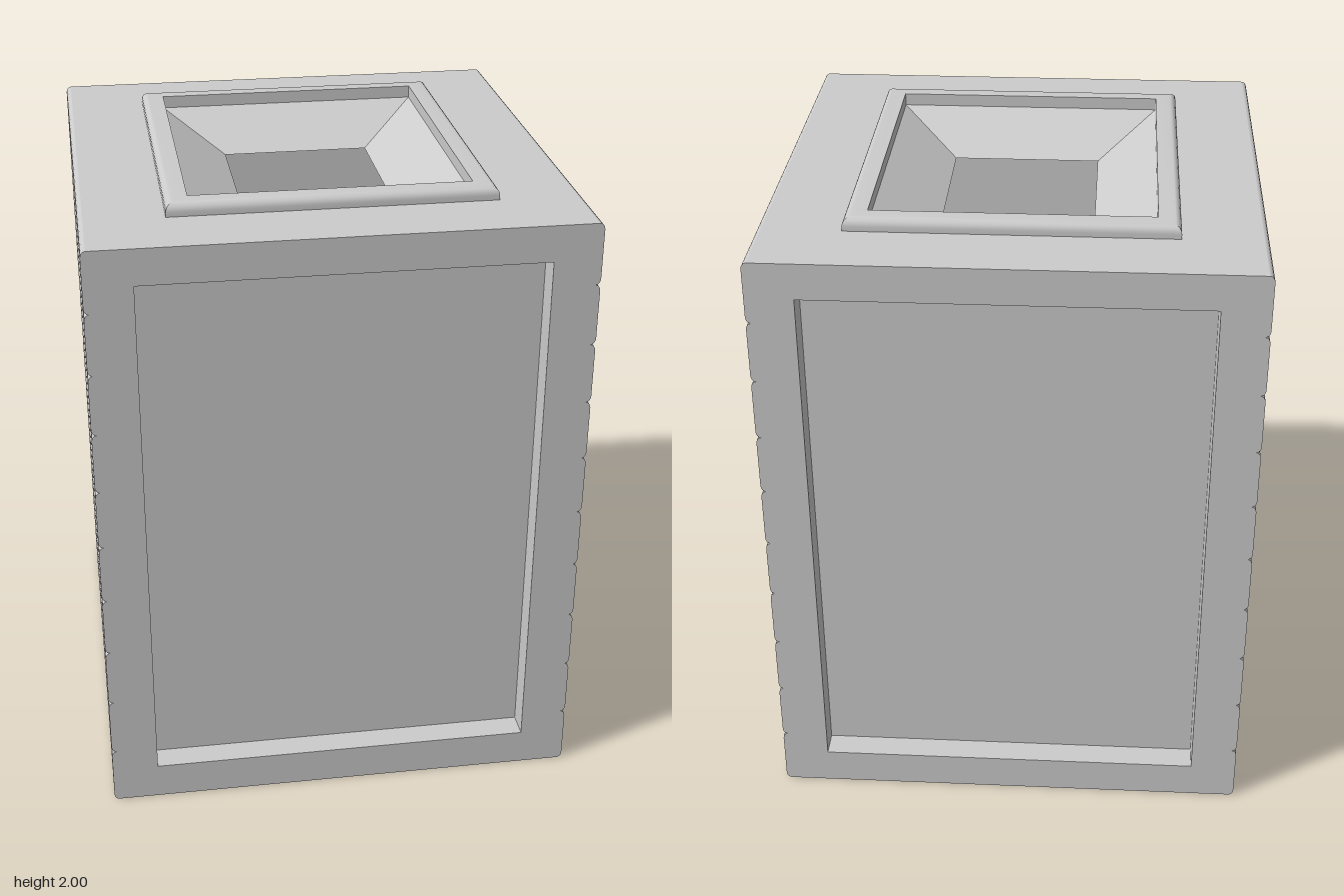
import * as THREE from 'three';
import { toCreasedNormals } from 'three/addons/utils/BufferGeometryUtils.js';

const W = 0.765, D = 0.795, H = 1.96;          // half width, half depth, body height
const PLANKS = 10, GROOVE = 0.016, ROUND = 0.02;
const PANEL = { w: 0.617, h: 0.8625, y: 0.9825, depth: 0.085 };

const material = new THREE.MeshStandardMaterial({ color: 0xcccccc, side: THREE.DoubleSide });

function part(name, geometry) {
  const mesh = new THREE.Mesh(geometry, material);
  mesh.name = name;
  return mesh;
}

// Skin between successive rows of points
function loft(rows) {
  const pos = [];
  for (let i = 0; i < rows.length - 1; i++) {
    for (let j = 0; j < rows[i].length - 1; j++) {
      const a = rows[i][j], b = rows[i][j + 1], c = rows[i + 1][j + 1], d = rows[i + 1][j];
      pos.push(...a, ...b, ...c, ...a, ...c, ...d);
    }
  }
  const geo = new THREE.BufferGeometry();
  geo.setAttribute('position', new THREE.Float32BufferAttribute(pos, 3));
  geo.computeVertexNormals();
  return toCreasedNormals(geo, 0.6);
}

// Closed rectangle at height y
const ring = (w, d, y) => [[-w, y, d], [w, y, d], [w, y, -d], [-w, y, -d], [-w, y, d]];

// Rectangular outline added to a shape or path
function rectPath(path, w, h, cy = 0) {
  path.moveTo(-w, cy - h).lineTo(w, cy - h).lineTo(w, cy + h).lineTo(-w, cy + h).closePath();
  return path;
}

// Stacked round-edged planks as an x, y profile running upwards
function sidingProfile() {
  const pts = [], step = H / PLANKS, n = 4;
  const arc = (t) => W - GROOVE + GROOVE * Math.sin(t);
  for (let k = 0; k < PLANKS; k++) {
    for (let i = 0; i <= n; i++) {
      const t = (i / n) * Math.PI / 2;
      pts.push([arc(t), k * step + ROUND * (1 - Math.cos(t))]);
    }
    for (let i = n; i >= 0; i--) {
      const t = (i / n) * Math.PI / 2;
      pts.push([arc(t), (k + 1) * step - ROUND * (1 - Math.cos(t))]);
    }
  }
  return pts;
}

// Framed face with a sunken panel, facing +z
function framedFace(name, profile) {
  const group = new THREE.Group();
  group.name = name;
  const outline = [
    ...profile.map(([x, y]) => new THREE.Vector2(x, y)),
    ...profile.map(([x, y]) => new THREE.Vector2(-x, y)).reverse(),
  ];
  const shape = new THREE.Shape(outline);
  shape.holes.push(rectPath(new THREE.Path(), PANEL.w, PANEL.h, PANEL.y));
  const frame = part('frame', new THREE.ShapeGeometry(shape));
  frame.position.z = D;

  const reveal = part('panelReveal', loft([
    ring(PANEL.w, PANEL.h, D), ring(PANEL.w, PANEL.h, D - PANEL.depth),
  ]).rotateX(Math.PI / 2));
  reveal.position.y = PANEL.y;

  const panel = part('sunkenPanel', new THREE.PlaneGeometry(PANEL.w * 2, PANEL.h * 2));
  panel.position.set(0, PANEL.y, D - PANEL.depth);
  group.add(frame, reveal, panel);
  return group;
}

export function createModel() {
  const model = new THREE.Group();
  model.name = 'plankedBin';
  const profile = sidingProfile();

  // Front and back
  const back = framedFace('backFace', profile);
  back.rotation.y = Math.PI;
  model.add(framedFace('frontFace', profile), back);

  // Planked sides
  const siding = loft([-D, D].map((z) => profile.map(([x, y]) => [x, y, z])));
  const right = part('rightSiding', siding);
  right.rotation.y = Math.PI;
  model.add(part('leftSiding', siding), right);

  // Top plate with opening, and base
  const plate = rectPath(new THREE.Shape(), W - GROOVE, D);
  plate.holes.push(rectPath(new THREE.Path(), 0.5, 0.56));
  const top = part('topPlate', new THREE.ShapeGeometry(plate).rotateX(-Math.PI / 2));
  top.position.y = H;
  const base = part('base', new THREE.PlaneGeometry((W - GROOVE) * 2, D * 2).rotateX(Math.PI / 2));
  model.add(top, base);

  // Raised rim with rounded outer edge, continuing into the funnel
  const rows = [ring(0.505, 0.563, H)];
  for (let i = 0; i <= 5; i++) {
    const t = (i / 5) * Math.PI / 2, r = 0.025;
    rows.push(ring(0.505 - r * (1 - Math.cos(t)), 0.563 - r * (1 - Math.cos(t)), 1.975 + r * Math.sin(t)));
  }
  rows.push(ring(0.435, 0.495, 2), ring(0.435, 0.495, H));
  model.add(part('rim', loft(rows)));
  model.add(part('funnel', loft([ring(0.435, 0.495, H), ring(0.242, 0.288, 1.85)])));

  return model;
}
